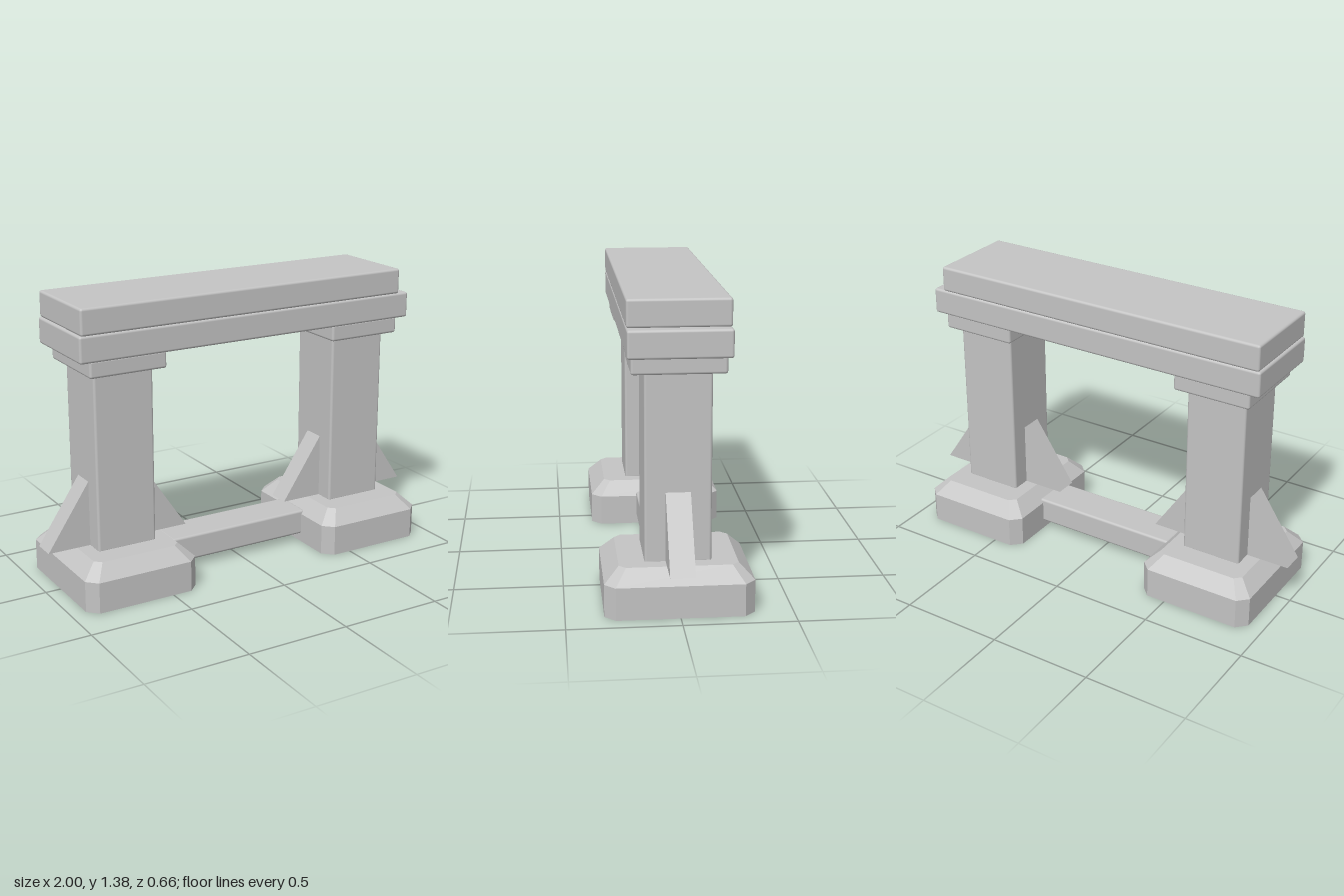
import * as THREE from 'three';
import { RoundedBoxGeometry } from 'three/addons/geometries/RoundedBoxGeometry.js';

const stone = new THREE.MeshStandardMaterial({ color: 0xc4c4c4 });
stone.name = 'grey stone';

function add(parent, name, geometry) {
  const mesh = new THREE.Mesh(geometry, stone);
  mesh.name = name;
  parent.add(mesh);
  return mesh;
}

// Softly rounded block given by its extents; depth is centred on z = 0
function block(parent, name, x0, x1, y0, y1, halfZ) {
  const g = new RoundedBoxGeometry(x1 - x0, y1 - y0, halfZ * 2, 2, 0.012);
  add(parent, name, g).position.set((x0 + x1) / 2, (y0 + y1) / 2, 0);
}

// Rectangle with cut corners, as a ring of eight points at height y
function ring(hx, hz, cut, y) {
  return [
    [hx, hz - cut], [hx, cut - hz], [hx - cut, -hz], [cut - hx, -hz],
    [-hx, cut - hz], [-hx, hz - cut], [cut - hx, hz], [hx - cut, hz],
  ].map(([x, z]) => [x, y, z]);
}

// Faceted foot: straight octagonal prism with a sloped shoulder
function footGeometry() {
  const rings = [
    ring(0.283, 0.33, 0.048, 0),
    ring(0.283, 0.33, 0.048, 0.148),
    ring(0.215, 0.263, 0.03, 0.215),
  ];
  const pos = [];
  const tri = (a, b, c) => pos.push(...a, ...b, ...c);
  for (let r = 0; r < 2; r++) {
    for (let i = 0; i < 8; i++) {
      const j = (i + 1) % 8;
      const [a, b, c, d] = [rings[r][i], rings[r][j], rings[r + 1][j], rings[r + 1][i]];
      tri(a, b, c);
      tri(a, c, d);
    }
  }
  for (let i = 1; i < 7; i++) {
    tri(rings[2][0], rings[2][i], rings[2][i + 1]);
    tri(rings[0][0], rings[0][i + 1], rings[0][i]);
  }
  const g = new THREE.BufferGeometry();
  g.setAttribute('position', new THREE.Float32BufferAttribute(pos, 3));
  g.computeVertexNormals();
  return g;
}

// Triangular brace leaning on the pillar, dir = +1 or -1 along x
function braceGeometry(dir) {
  const shape = new THREE.Shape([
    new THREE.Vector2(0.12 * dir, 0.215),
    new THREE.Vector2(0.358 * dir, 0.215),
    new THREE.Vector2(0.147 * dir, 0.53),
    new THREE.Vector2(0.12 * dir, 0.53),
  ]);
  const g = new THREE.ExtrudeGeometry(shape, { depth: 0.11, bevelEnabled: false });
  g.translate(0, 0, -0.055);
  return g;
}

export function createModel() {
  const model = new THREE.Group();
  model.name = 'stone gateway';

  // Two matching supports
  for (const side of [-1, 1]) {
    const support = new THREE.Group();
    support.name = side > 0 ? 'leftSupport' : 'rightSupport';
    support.position.x = 0.642 * side;
    add(support, 'foot', footGeometry());
    block(support, 'pillar', -0.148, 0.148, 0.205, 1.07, 0.148);
    block(support, 'capital', -0.19, 0.19, 1.058, 1.14, 0.207);
    add(support, 'outerBrace', braceGeometry(side));
    add(support, 'innerBrace', braceGeometry(-side));
    model.add(support);
  }

  // Stacked beams on top; the upper one is slightly shorter at one end
  block(model, 'lowerBeam', -0.885, 0.885, 1.135, 1.26, 0.225);
  block(model, 'upperBeam', -0.877, 0.83, 1.258, 1.382, 0.225);

  // Low tie bar between the feet
  block(model, 'tieBar', -0.38, 0.38, 0.042, 0.167, 0.1);

  return model;
}
